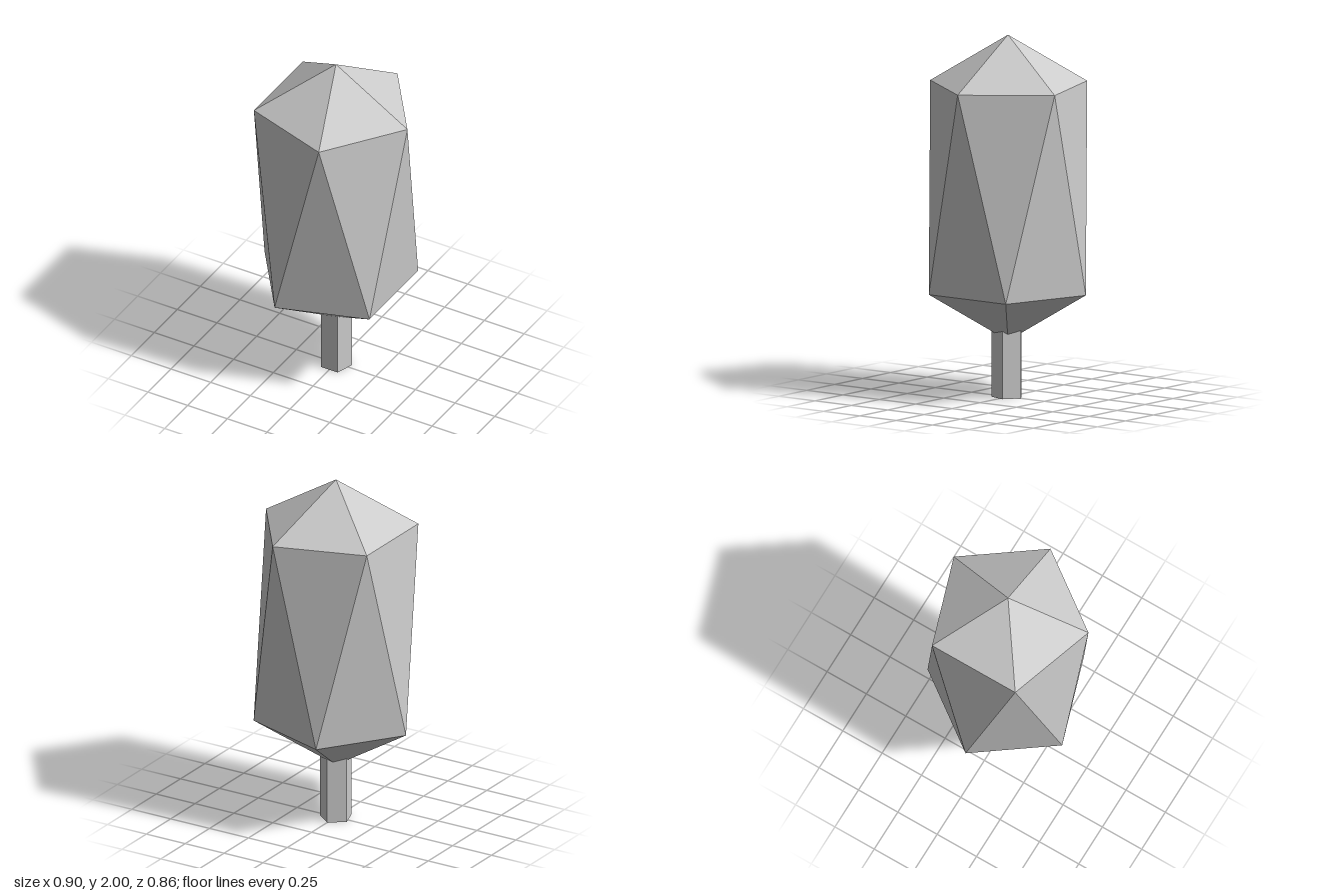
import * as THREE from 'three';

const SIDES = 5;

// Ring of corners in the horizontal plane
function ring(radius, y, turn) {
  return Array.from({ length: SIDES }, (_, i) => {
    const a = ((i + turn) / SIDES) * Math.PI * 2;
    return [radius * Math.cos(a), y, -radius * Math.sin(a)];
  });
}

// Faceted crown: two pentagon rings, half a step apart, each closed by a point
function crownGeometry() {
  const top = [0, 2, 0];
  const bottom = [0, 0.31, 0];
  const upper = ring(0.45, 1.725, 0);
  const lower = ring(0.45, 0.585, 0.5);
  const corners = [];
  for (let i = 0; i < SIDES; i++) {
    const j = (i + 1) % SIDES;
    corners.push(top, upper[i], upper[j]); // cap
    corners.push(upper[i], lower[i], upper[j]); // side, pointing down
    corners.push(lower[i], lower[j], upper[j]); // side, pointing up
    corners.push(bottom, lower[j], lower[i]); // underside
  }
  const geometry = new THREE.BufferGeometry();
  geometry.setAttribute('position', new THREE.Float32BufferAttribute(corners.flat(), 3));
  geometry.computeVertexNormals();
  return geometry;
}

export function createModel() {
  const group = new THREE.Group();
  group.name = 'tree';
  const material = new THREE.MeshStandardMaterial({ color: 0xcccccc, flatShading: true });

  const crown = new THREE.Mesh(crownGeometry(), material);
  crown.name = 'crown';

  // Five-sided trunk with a flat face to the front, running up into the crown
  const trunkHeight = 0.42;
  const trunk = new THREE.Mesh(new THREE.CylinderGeometry(0.09, 0.09, trunkHeight, SIDES), material);
  trunk.name = 'trunk';
  trunk.rotation.y = Math.PI;
  trunk.position.y = trunkHeight / 2;

  group.add(crown, trunk);
  return group;
}
